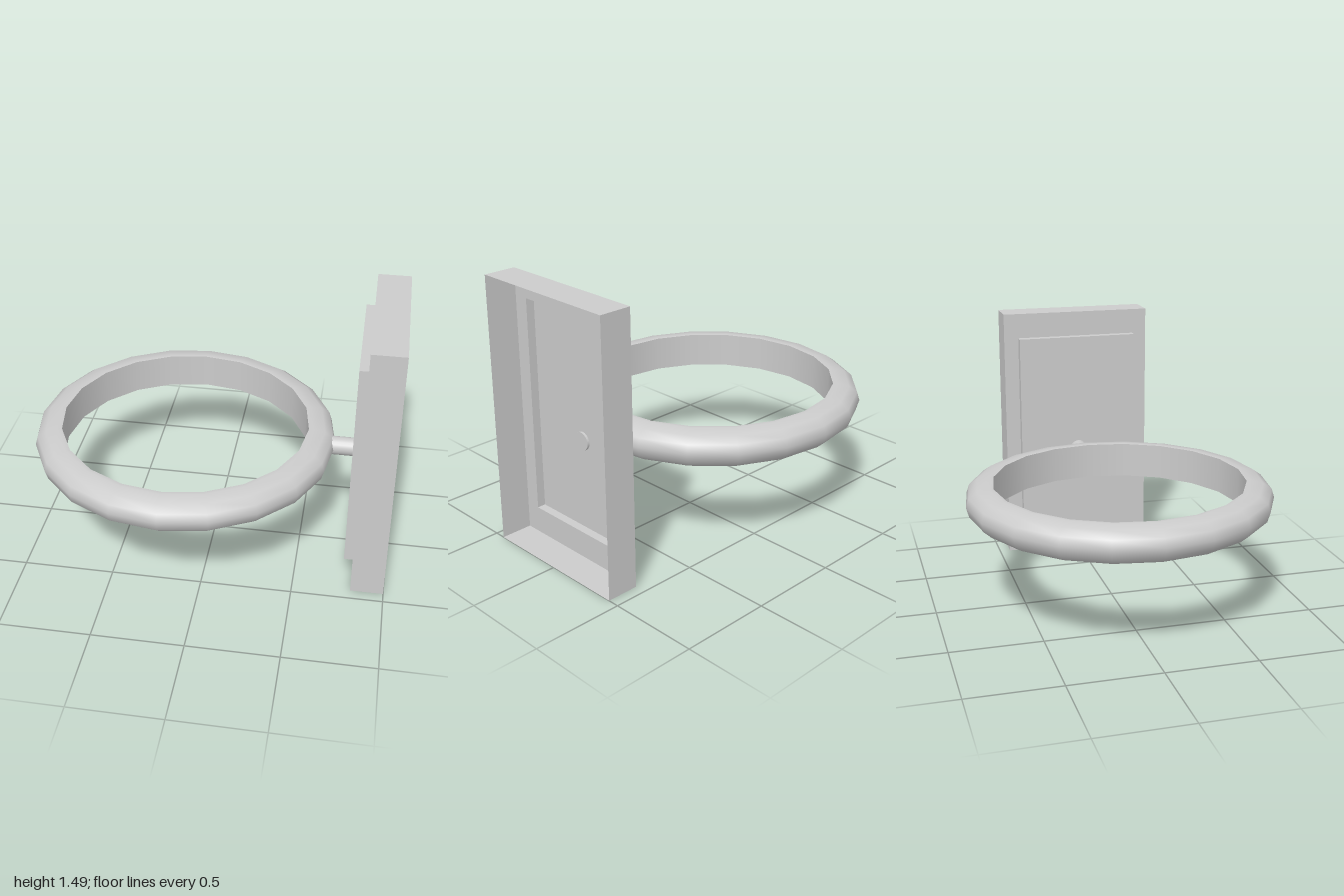
import * as THREE from 'three';

const material = new THREE.MeshStandardMaterial({ color: 0xcccccc, side: THREE.DoubleSide });

function addMesh(parent, name, geometry) {
  const mesh = new THREE.Mesh(geometry, material);
  mesh.name = name;
  parent.add(mesh);
  return mesh;
}

// Rectangle at a given x, centred on z = 0
function rectangle(x, halfDepth, bottom, top) {
  return [[x, bottom, -halfDepth], [x, bottom, halfDepth], [x, top, halfDepth], [x, top, -halfDepth]];
}

// Thin stepped shell through rectangles, open at the first and closed at the last
function steppedShell(loops) {
  const positions = [];
  const quad = (a, b, c, d) => positions.push(...a, ...b, ...c, ...a, ...c, ...d);
  for (let i = 0; i < loops.length - 1; i++) {
    for (let j = 0; j < 4; j++) {
      const k = (j + 1) % 4;
      quad(loops[i][j], loops[i][k], loops[i + 1][k], loops[i + 1][j]);
    }
  }
  quad(...loops[loops.length - 1]);
  const geometry = new THREE.BufferGeometry();
  geometry.setAttribute('position', new THREE.Float32BufferAttribute(positions, 3));
  geometry.computeVertexNormals();
  return geometry;
}

function lathe(points) {
  return new THREE.LatheGeometry(points.map(([r, y]) => new THREE.Vector2(r, y)), 20);
}

export function createModel() {
  const model = new THREE.Group();
  model.name = 'wallRing';

  // Hollow wall plate with a raised panel, open towards the wall
  addMesh(model, 'wallPlate', steppedShell([
    rectangle(1, 0.438, 0, 1.493),
    rectangle(0.82, 0.438, 0, 1.493),
    rectangle(0.82, 0.353, 0.148, 1.348),
    rectangle(0.772, 0.353, 0.148, 1.348),
  ]));

  // Ring: rounded outside, flat inside wall with crisp edges
  const ring = new THREE.Group();
  ring.name = 'ring';
  ring.position.x = -0.165;
  addMesh(ring, 'ringOuterSurface', lathe([
    [0.685, 0.545], [0.72, 0.546], [0.78, 0.565], [0.82, 0.6], [0.835, 0.653],
    [0.82, 0.7], [0.775, 0.732], [0.71, 0.745], [0.685, 0.742],
  ]));
  addMesh(ring, 'ringInnerWall', lathe([[0.685, 0.742], [0.685, 0.545]]));
  model.add(ring);

  // Short rod from the ring through the panel
  const rod = addMesh(model, 'rod', new THREE.CylinderGeometry(0.051, 0.051, 0.145, 20));
  rod.rotation.z = Math.PI / 2;
  rod.position.set(0.7125, 0.653, 0);

  return model;
}
